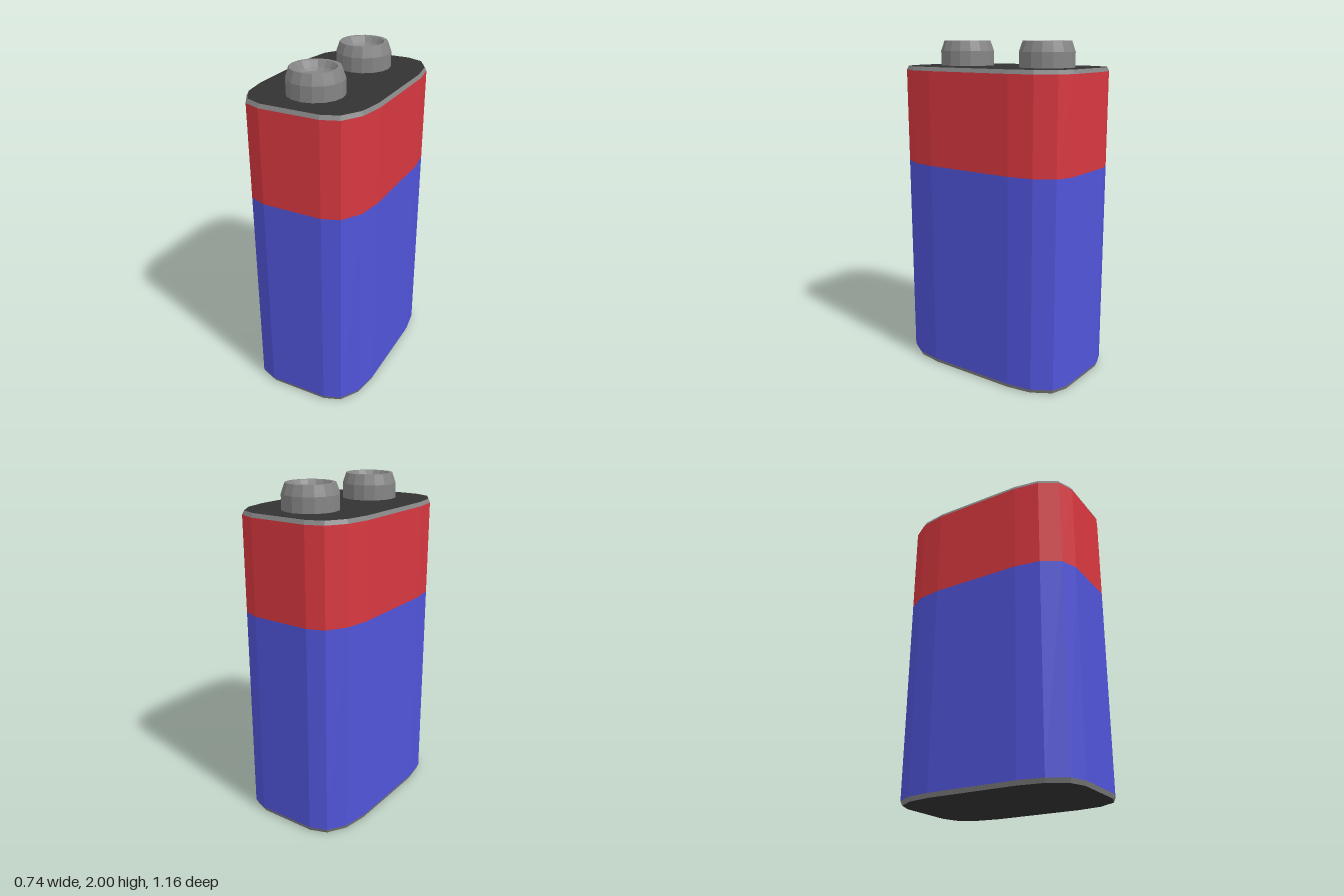
import * as THREE from 'three';

// One quarter of the rounded-rectangle outline, mirrored into a full loop (x, z)
const quarter = [[0.372, 0.28], [0.348, 0.43], [0.28, 0.54], [0.18, 0.578]];
const back = [...quarter].reverse();
const outline = [
  ...quarter,
  ...back.map(([x, z]) => [-x, z]),
  ...quarter.map(([x, z]) => [-x, -z]),
  ...back.map(([x, z]) => [x, -z]),
];

const inset = (d) => outline.map(([x, z]) => [x * (1 - d / 0.372), z * (1 - d / 0.578)]);

const material = (color) => new THREE.MeshStandardMaterial({ color, flatShading: true });

function addMesh(parent, name, geometry, mat) {
  const mesh = new THREE.Mesh(geometry, mat);
  mesh.name = name;
  parent.add(mesh);
  return mesh;
}

// Wall between two outline loops at different heights
function wall(y0, inset0, y1, inset1) {
  const a = inset(inset0), b = inset(inset1), n = a.length, pos = [];
  for (let i = 0; i < n; i++) {
    const j = (i + 1) % n;
    const p = [a[i][0], y0, a[i][1]], q = [a[j][0], y0, a[j][1]];
    const r = [b[i][0], y1, b[i][1]], s = [b[j][0], y1, b[j][1]];
    pos.push(...p, ...r, ...q, ...r, ...s, ...q);
  }
  const g = new THREE.BufferGeometry();
  g.setAttribute('position', new THREE.Float32BufferAttribute(pos, 3));
  g.computeVertexNormals();
  return g;
}

// Flat end plate, facing up or down
function plate(y, up) {
  const shape = new THREE.Shape(inset(0.01).map(([x, z]) => new THREE.Vector2(x, z)));
  return new THREE.ShapeGeometry(shape).rotateX(up ? -Math.PI / 2 : Math.PI / 2).translate(0, y, 0);
}

export function createModel() {
  const model = new THREE.Group();
  model.name = 'battery';
  const metal = material(0x858585);
  const black = material(0x333333);

  // Casing: coloured sleeve, bevelled metal rims, dark end plates
  addMesh(model, 'lowerSleeve', wall(0.025, 0, 1.275, 0), material(0x5054d8));
  addMesh(model, 'upperSleeve', wall(1.275, 0, 1.83, 0), material(0xd83840));
  addMesh(model, 'bottomRim', wall(0, 0.01, 0.025, 0), metal);
  addMesh(model, 'topRim', wall(1.83, 0, 1.853, 0.01), metal);
  addMesh(model, 'bottomPlate', plate(0, false), black);
  addMesh(model, 'topPlate', plate(1.853, true), black);

  // Two hollow snap terminals
  const profile = [
    [0.163, 1.853], [0.163, 1.94], [0.158, 1.955], [0.142, 2],
    [0.12, 2], [0.098, 1.965], [0.081, 1.95], [0, 1.95],
  ].map(([r, y]) => new THREE.Vector2(r, y));
  for (const [name, z] of [['frontTerminal', 0.29], ['backTerminal', -0.29]]) {
    addMesh(model, name, new THREE.LatheGeometry(profile, 16), metal).position.z = z;
  }
  return model;
}
